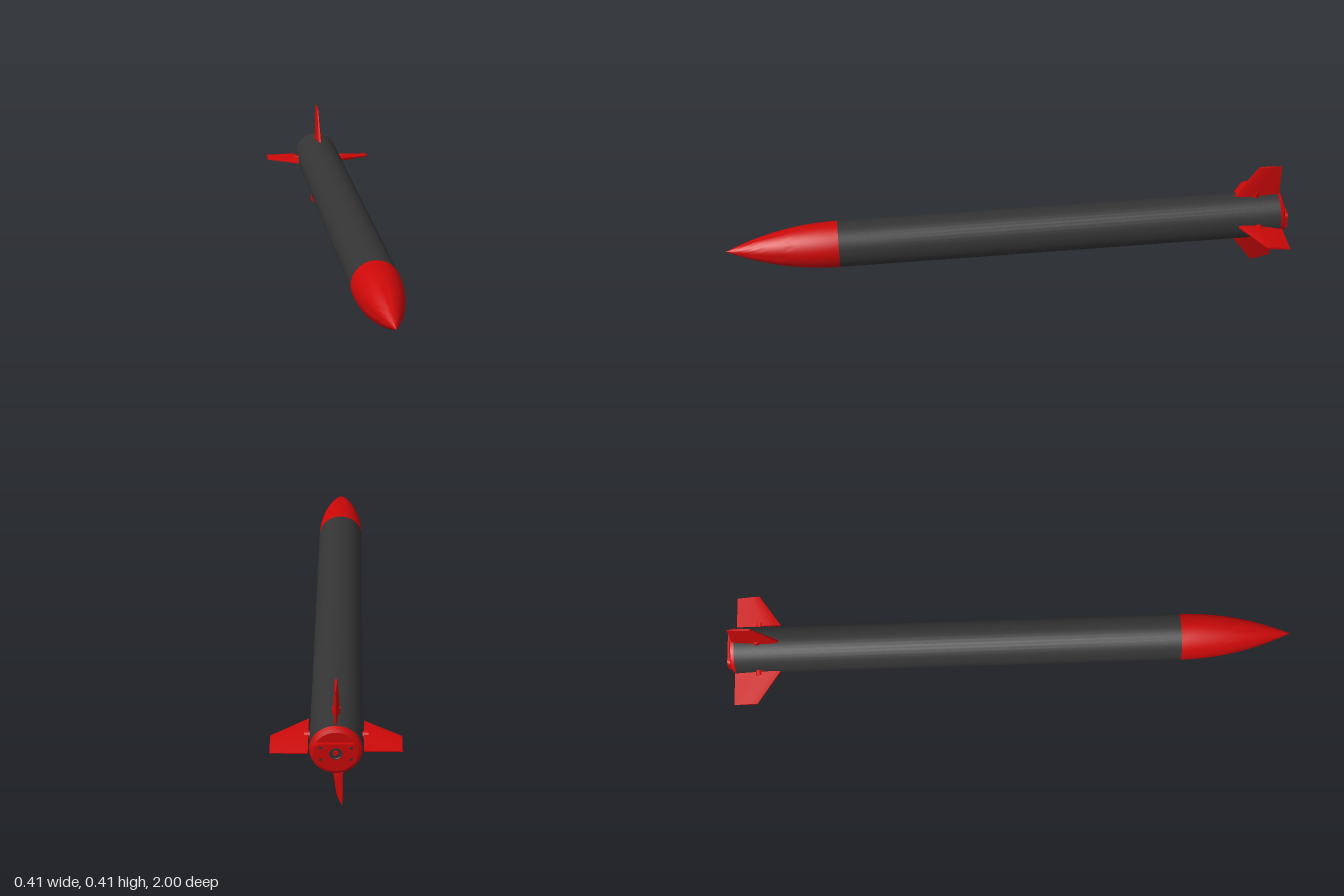
import * as THREE from 'three';
import { toCreasedNormals } from 'three/addons/utils/BufferGeometryUtils.js';

const AXIS_Y = 0.203; // height of the body axis
const R = 0.082;      // body radius
const FIN_Z = -0.89;  // fin pivot

const red = new THREE.MeshStandardMaterial({ color: 0xcc0808 });
const dark = new THREE.MeshStandardMaterial({ color: 0x343434 });

function add(parent, name, geometry, material) {
  const mesh = new THREE.Mesh(geometry, material);
  mesh.name = name;
  parent.add(mesh);
  return mesh;
}

// Surface of revolution about z from [radius, z] pairs, listed back to front
function turned(profile) {
  const points = profile.map(([r, z]) => new THREE.Vector2(r, z));
  return toCreasedNormals(new THREE.LatheGeometry(points, 40).rotateX(Math.PI / 2), 0.4);
}

// Tapered, swept blade: y is outward, z forward, x the thickness
function bladeGeometry() {
  const section = (y, front, back, half) => {
    const at = (t) => front + (back - front) * t;
    return [
      [half * 0.4, y, front], [half * 0.85, y, at(0.12)], [half, y, at(0.35)], [half * 0.25, y, back],
      [-half * 0.25, y, back], [-half, y, at(0.35)], [-half * 0.85, y, at(0.12)], [-half * 0.4, y, front],
    ];
  };
  const root = section(0.086, 0.075, -0.087, 0.0105);
  const tip = section(AXIS_Y, -0.005, -0.087, 0.004);
  const n = root.length;
  const pos = [];
  const tri = (a, b, c) => pos.push(...a, ...b, ...c);
  for (let i = 0; i < n; i++) {
    const j = (i + 1) % n;
    tri(root[i], tip[j], tip[i]);
    tri(root[i], root[j], tip[j]);
    if (i > 0 && i < n - 1) {
      tri(tip[0], tip[i], tip[j]);
      tri(root[0], root[j], root[i]);
    }
  }
  const geometry = new THREE.BufferGeometry();
  geometry.setAttribute('position', new THREE.Float32BufferAttribute(pos, 3));
  return toCreasedNormals(geometry, 0.5);
}

// Flat plate with rounded corners and a round hole
function plateGeometry(w, h, c, hole, depth) {
  const shape = new THREE.Shape();
  shape.absarc(w - c, h - c, c, 0, Math.PI / 2);
  shape.absarc(-w + c, h - c, c, Math.PI / 2, Math.PI);
  shape.absarc(-w + c, -h + c, c, Math.PI, Math.PI * 1.5);
  shape.absarc(w - c, -h + c, c, Math.PI * 1.5, Math.PI * 2);
  shape.holes.push(new THREE.Path().absarc(0, 0, hole, 0, Math.PI * 2, true));
  return new THREE.ExtrudeGeometry(shape, { depth, bevelEnabled: false, curveSegments: 10 });
}

export function createModel() {
  const model = new THREE.Group();
  model.name = 'rocket';
  const rocket = new THREE.Group();
  rocket.name = 'airframe';
  rocket.position.y = AXIS_Y;
  model.add(rocket);

  // Body tube and pointed ogive nose
  add(rocket, 'body', turned([[R, -0.972], [R, 0.605]]), dark);
  const nose = [];
  for (let i = 0; i <= 16; i++) {
    const t = i / 16;
    nose.push([R * (1 - t * t * (0.9 + 0.1 * t)), 0.605 + 0.395 * t]);
  }
  add(rocket, 'nose', turned(nose), red);

  // Tail cap with chamfered rim
  add(rocket, 'tailCap', turned([[0, -0.989], [0.068, -0.989], [0.078, -0.984], [R, -0.972]]), red);

  // Tail plate with port and screws
  add(rocket, 'tailPlate', plateGeometry(0.064, 0.034, 0.015, 0.02, 0.013), red).position.z = -1;
  add(rocket, 'portRing', new THREE.TorusGeometry(0.019, 0.003, 8, 24), dark).position.z = -0.997;
  const port = add(rocket, 'port', new THREE.CylinderGeometry(0.02, 0.02, 0.004, 24), dark);
  port.rotation.x = Math.PI / 2;
  port.position.z = -0.99;
  const core = add(rocket, 'portCore', new THREE.CylinderGeometry(0.008, 0.008, 0.01, 16), red);
  core.rotation.x = Math.PI / 2;
  core.position.z = -0.993;
  for (const x of [-0.047, 0.047]) {
    for (const y of [-0.02, 0.02]) {
      const screw = add(rocket, 'screw', new THREE.CylinderGeometry(0.005, 0.005, 0.004, 10), dark);
      screw.rotation.x = Math.PI / 2;
      screw.position.set(x, y, -0.9985);
    }
  }

  // Four pivoting fins: [name, turn about the body, steering angle in degrees]
  const blade = bladeGeometry();
  const fins = [
    ['topFin', 0, -1],
    ['leftFin', -Math.PI / 2, -9],
    ['bottomFin', Math.PI, -13],
    ['rightFin', Math.PI / 2, 3],
  ];
  for (const [name, turn, steer] of fins) {
    const mount = new THREE.Group();
    mount.name = name;
    mount.position.z = FIN_Z;
    mount.rotation.z = turn;
    rocket.add(mount);
    const fin = new THREE.Group();
    fin.name = name + 'Pivot';
    fin.rotation.y = THREE.MathUtils.degToRad(steer);
    mount.add(fin);
    add(fin, 'blade', blade, red);
    add(fin, 'hub', new THREE.CylinderGeometry(0.0135, 0.0135, 0.018, 20), red).position.y = 0.09;
    add(fin, 'shaft', new THREE.CylinderGeometry(0.007, 0.007, 0.03, 16), red).position.y = 0.082;
  }
  return model;
}
